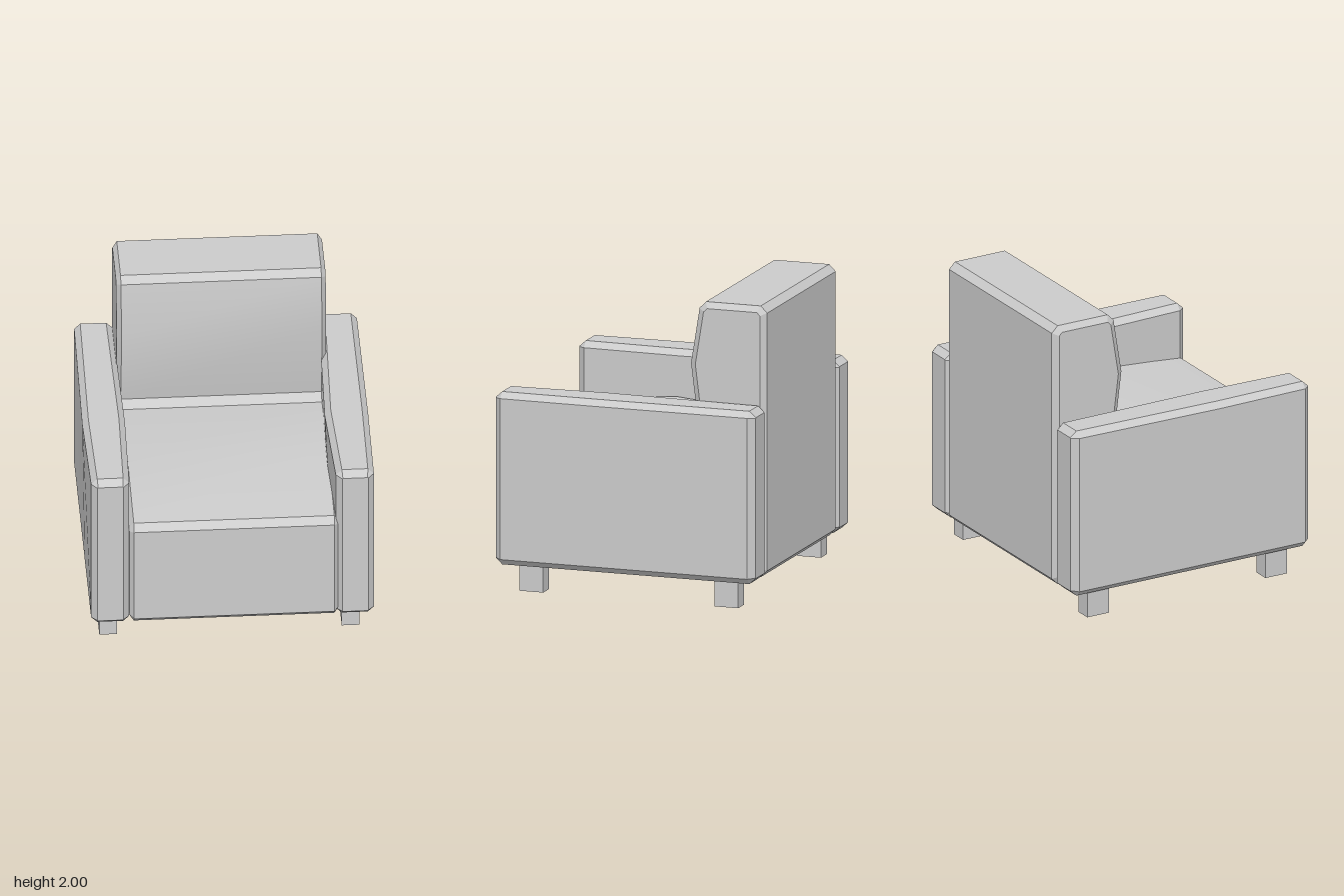
import * as THREE from 'three';
import { toCreasedNormals } from 'three/addons/utils/BufferGeometryUtils.js';

const material = new THREE.MeshStandardMaterial({ color: 0xcccccc });

function addMesh(parent, name, geometry) {
  const mesh = new THREE.Mesh(geometry, material);
  mesh.name = name;
  parent.add(mesh);
  return mesh;
}

// Seat and back: one L-shaped side profile (z, y) with padded bulges, bevelled at both sides
function bodyGeometry() {
  const profile = [
    [-0.86, 0.18], [0.86, 0.18], [0.905, 0.225], [0.905, 0.925], [0.86, 0.97],
    [0.2, 1.03], [-0.39, 0.975], [-0.445, 1.02], [-0.375, 1.58], [-0.435, 1.955],
    [-0.48, 2], [-0.86, 2], [-0.905, 1.955], [-0.905, 0.225],
  ];
  const shape = new THREE.Shape(profile.map(([z, y]) => new THREE.Vector2(z, y)));
  const geometry = new THREE.ExtrudeGeometry(shape, {
    depth: 1.315, bevelThickness: 0.03, bevelSize: 0.04, bevelOffset: -0.04, bevelSegments: 1,
  });
  geometry.rotateY(-Math.PI / 2).translate(0.67, 0, 0);
  return toCreasedNormals(geometry, 0.35);
}

// Chamfered rectangle, counter-clockwise seen from the front
function ring(x0, x1, z, inset, cut, push0 = 0, push1 = 0) {
  const a = x0 + inset, b = x1 - inset;
  const lo = 0.18 + inset, hi = 1.34 - inset;
  return [
    [a + cut, lo], [b - cut, lo], [b, lo + cut], [b + push1, hi - cut],
    [b - cut + push1, hi], [a + cut + push0, hi], [a + push0, hi - cut], [a, lo + cut],
  ].map(([x, y]) => [x, y, z]);
}

// Armrest lofted front to back; its upper edges swell near the middle
function armGeometry(x0, x1, push0, push1) {
  const rings = [
    ring(x0, x1, 0.905, 0.04, 0.004),
    ring(x0, x1, 0.86, 0, 0.04),
    ring(x0, x1, 0.2, 0, 0.04, push0, push1),
    ring(x0, x1, -0.86, 0, 0.04),
    ring(x0, x1, -0.905, 0.04, 0.004),
  ];
  const index = [];
  const n = 8;
  for (let i = 0; i < rings.length - 1; i++) {
    for (let j = 0; j < n; j++) {
      const a = i * n + j, b = i * n + (j + 1) % n;
      index.push(a, a + n, b, b, a + n, b + n);
    }
  }
  const last = (rings.length - 1) * n;
  for (let j = 1; j < n - 1; j++) {
    index.push(0, j, j + 1, last, last + j + 1, last + j);
  }
  const geometry = new THREE.BufferGeometry();
  geometry.setAttribute('position', new THREE.Float32BufferAttribute(rings.flat(2), 3));
  geometry.setIndex(index);
  return toCreasedNormals(geometry, 0.35);
}

export function createModel() {
  const model = new THREE.Group();
  model.name = 'armchair';

  addMesh(model, 'seatAndBack', bodyGeometry());
  addMesh(model, 'rightArm', armGeometry(-0.925, -0.675, -0.015, 0.015));
  addMesh(model, 'leftArm', armGeometry(0.68, 0.93, -0.03, 0.005));

  // Short square legs, tucked slightly into the arms
  for (const [side, x] of [['Right', -0.807], ['Left', 0.783]]) {
    for (const [end, z] of [['front', 0.675], ['back', -0.682]]) {
      const leg = addMesh(model, `${end}${side}Leg`, new THREE.BoxGeometry(0.115, 0.2, 0.165));
      leg.position.set(x, 0.1, z);
    }
  }
  return model;
}
